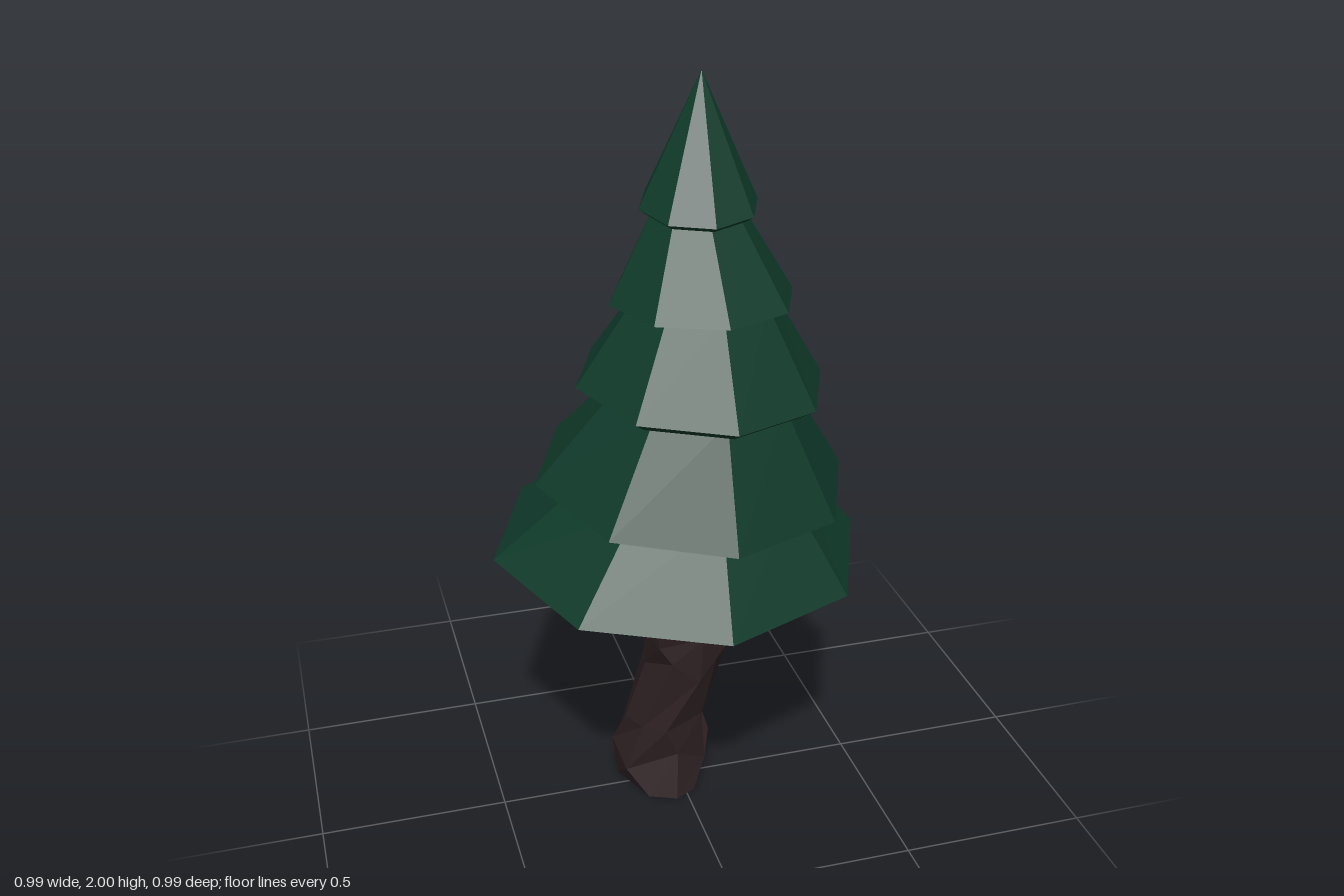
import * as THREE from 'three';

const bark = new THREE.MeshStandardMaterial({ color: 0x2d2022, flatShading: true });
const needles = new THREE.MeshStandardMaterial({ color: 0x0f3a2a, flatShading: true });

// A closed skin over rings of points, listed from bottom to top
function loft(rings) {
  const pos = [];
  const tri = (a, b, c) => {
    const area = b.clone().sub(a).cross(c.clone().sub(a)).length();
    if (area > 1e-7) pos.push(...a.toArray(), ...b.toArray(), ...c.toArray());
  };
  const n = rings[0].length;
  const middle = ring => ring.reduce((s, p) => s.add(p), new THREE.Vector3()).divideScalar(n);
  const bottom = rings[0], top = rings[rings.length - 1];
  const low = middle(bottom), high = middle(top);
  for (let i = 0; i < n; i++) {
    const j = (i + 1) % n;
    for (let k = 0; k + 1 < rings.length; k++) {
      const a = rings[k], b = rings[k + 1];
      tri(a[i], b[i], a[j]);
      tri(a[j], b[i], b[j]);
    }
    tri(low, bottom[i], bottom[j]);
    tri(high, top[j], top[i]);
  }
  const geometry = new THREE.BufferGeometry();
  geometry.setAttribute('position', new THREE.Float32BufferAttribute(pos, 3));
  geometry.computeVertexNormals();
  return geometry;
}

// An eight-sided ring, tilted by its slopes along x and z
function octagon(x, y, z, r, slopeX = 0, slopeZ = 0) {
  return Array.from({ length: 8 }, (_, i) => {
    const dx = r * Math.cos(i * Math.PI / 4), dz = r * Math.sin(i * Math.PI / 4);
    return new THREE.Vector3(x + dx, y + dx * slopeX + dz * slopeZ, z + dz);
  });
}

// Skirts of branches: rim [x, y, z, radius], rim slopes, drop of the underside, top [x, y, z, radius]
const tiers = [
  { rim: [0, 0.76, 0, 0.494], slope: [-0.025, -0.07], drop: 0.032, top: [0.025, 0.98, 0.035, 0.285] },
  { rim: [0.026, 0.972, 0.037, 0.41], slope: [-0.05, -0.087], drop: 0.012, top: [0.042, 1.22, 0.06, 0.235] },
  { rim: [0.043, 1.243, 0.06, 0.32], slope: [-0.04, -0.055], drop: 0.026, top: [0.05, 1.47, 0.055, 0.175] },
  { rim: [0.045, 1.462, 0.062, 0.235], slope: [0, -0.01], drop: 0.006, top: [0.038, 1.71, 0.03, 0.095] },
  { rim: [0.04, 1.692, 0.045, 0.149], slope: [0.015, -0.13], drop: 0.014, top: [0.06, 2, -0.003, 0] },
];

// Trunk sections from the ground up: [y, centre x, centre z, half width x, half depth z]
const sections = [
  [0, -0.04, -0.035, 0.128, 0.152],
  [0.1, -0.043, -0.035, 0.142, 0.132],
  [0.22, -0.035, -0.02, 0.12, 0.122],
  [0.41, 0.02, 0, 0.117, 0.134],
  [0.5, 0.018, 0.025, 0.12, 0.118],
  [0.62, 0.01, 0.02, 0.134, 0.126],
  [0.76, 0.015, 0.01, 0.118, 0.118],
];

export function createModel() {
  const tree = new THREE.Group();
  tree.name = 'pineTree';

  // Rough, crooked trunk
  const rings = sections.map(([y, x, z, rx, rz], k) =>
    Array.from({ length: 8 }, (_, i) => {
      const a = i * Math.PI / 4 + 0.22 * Math.sin(k * 2.1 + i * 1.7);
      const bump = 1 - 0.07 * (1 + Math.sin(k * 3.7 + i * 2.3)) / 2;
      const lift = k === 0 ? 0 : 0.03 * Math.sin(k * 1.9 + i * 2.9);
      return new THREE.Vector3(x + rx * bump * Math.cos(a), y + lift, z + rz * bump * Math.sin(a));
    }));
  const trunk = new THREE.Mesh(loft(rings), bark);
  trunk.name = 'trunk';
  tree.add(trunk);

  // Tilted skirts, each with a bevelled underside
  const foliage = new THREE.Group();
  foliage.name = 'foliage';
  tiers.forEach(({ rim: [x, y, z, r], slope, drop, top }, i) => {
    const skirt = new THREE.Mesh(loft([
      octagon(x, y - drop, z, r * 0.88, ...slope),
      octagon(x, y, z, r, ...slope),
      octagon(...top),
    ]), needles);
    skirt.name = `branchTier${i + 1}`;
    foliage.add(skirt);
  });
  tree.add(foliage);
  return tree;
}
